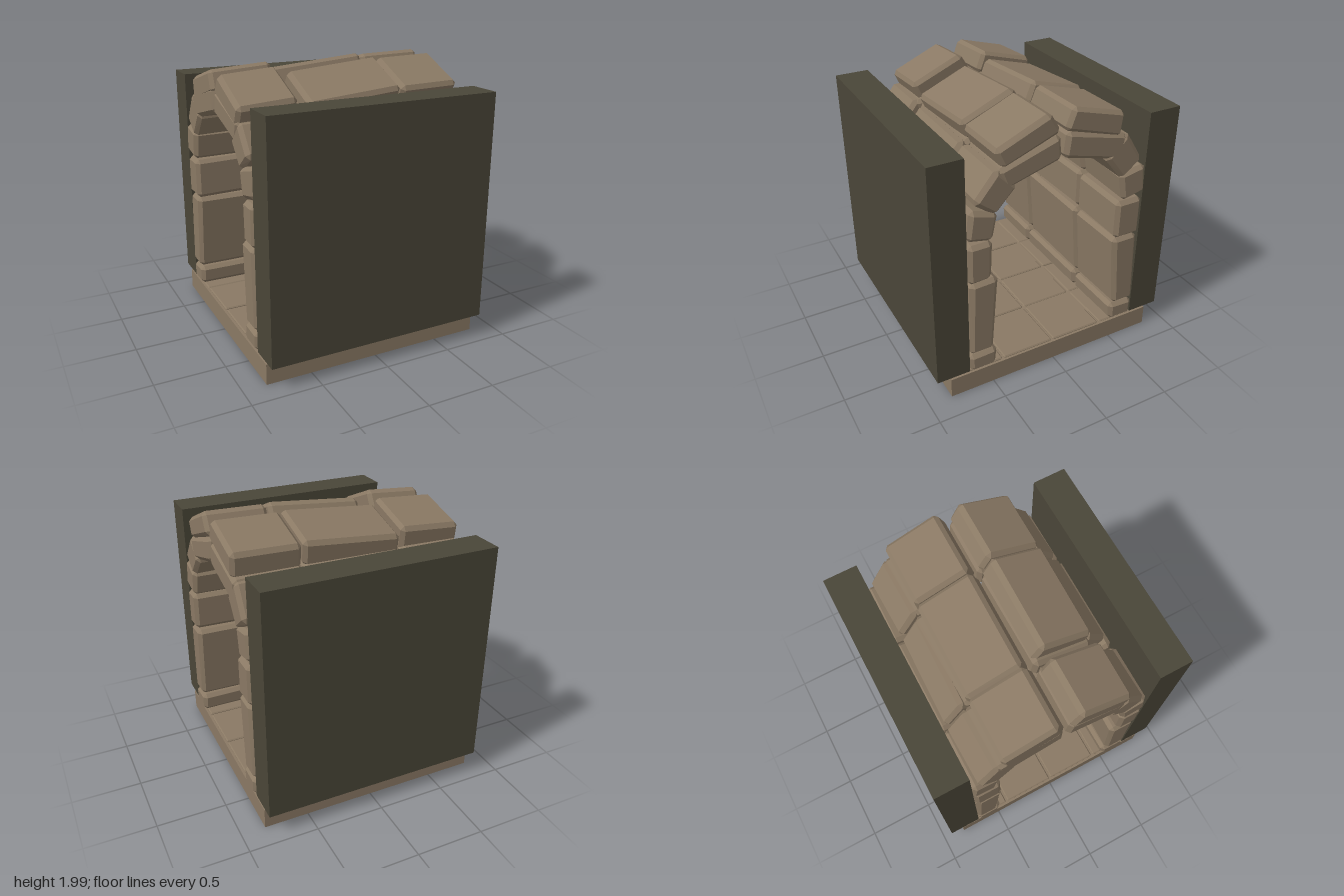
import * as THREE from 'three';
import { ConvexGeometry } from 'three/addons/geometries/ConvexGeometry.js';

const stoneMat = new THREE.MeshStandardMaterial({ color: 0x8a7964, flatShading: true });
stoneMat.name = 'tan stone';
const wallMat = new THREE.MeshStandardMaterial({ color: 0x4a4638, flatShading: true });
wallMat.name = 'dark wall';

// Small seeded random, -1..1
let seed = 7;
function rand() {
  seed = (seed * 16807) % 2147483647;
  return (seed / 2147483647) * 2 - 1;
}

// Chamfered block between two four-sided (z, y) sections at x0 and x1
function stoneGeometry(a, b, x0, x1, bevel) {
  const corner = (q, i, x) => new THREE.Vector3(x, q[i][1], q[i][0]);
  const A = [0, 1, 2, 3].map(i => corner(a, i, x0));
  const B = [0, 1, 2, 3].map(i => corner(b, i, x1));
  const section = (C, u, v) => C[0].clone().lerp(C[1], u).lerp(C[3].clone().lerp(C[2], u), v);
  const at = (u, v, w) => section(A, u, v).lerp(section(B, u, v), w);
  const inset = [
    bevel / A[0].distanceTo(A[1]),
    bevel / A[1].distanceTo(A[2]),
    bevel / (x1 - x0),
  ];
  const points = [];
  for (let c = 0; c < 8; c++) {
    const ends = [c & 1, (c >> 1) & 1, c >> 2];
    for (let flush = 0; flush < 3; flush++) {
      const p = ends.map((e, k) => (k === flush ? e : e ? 1 - inset[k] : inset[k]));
      points.push(at(...p));
    }
  }
  return new ConvexGeometry(points);
}

function addBox(group, name, mat, x0, x1, y0, y1, z0, z1) {
  const mesh = new THREE.Mesh(new THREE.BoxGeometry(x1 - x0, y1 - y0, z1 - z0), mat);
  mesh.position.set((x0 + x1) / 2, (y0 + y1) / 2, (z0 + z1) / 2);
  mesh.name = name;
  group.add(mesh);
}

// Courses as (z, y) sections, bottom to crown
const frontCourses = [
  ['base', [[0.68, 0.165], [0.48, 0.165], [0.47, 0.31], [0.69, 0.3]]],
  ['pier', [[0.68, 0.31], [0.5, 0.31], [0.46, 0.91], [0.67, 0.9]]],
  ['upperPier', [[0.68, 0.9], [0.51, 0.91], [0.5, 1.2], [0.68, 1.2]]],
  ['springer', [[0.69, 1.24], [0.5, 1.2], [0.46, 1.4], [0.66, 1.46]]],
  ['haunch', [[0.64, 1.5], [0.48, 1.38], [0.32, 1.55], [0.47, 1.71]]],
  ['vault', [[0.47, 1.69], [0.41, 1.54], [0, 1.66], [0.02, 1.84]]],
  ['crown', [[0.49, 1.83], [0.43, 1.69], [0.01, 1.85], [0.1, 2.0]]],
];
const backCourses = [
  ['base', [[-0.68, 0.165], [-0.49, 0.165], [-0.48, 0.31], [-0.69, 0.3]]],
  ['pier', [[-0.69, 0.31], [-0.51, 0.31], [-0.46, 0.9], [-0.67, 0.9]]],
  ['upperPier', [[-0.68, 0.9], [-0.47, 0.9], [-0.47, 1.2], [-0.68, 1.2]]],
  ['springer', [[-0.7, 1.24], [-0.51, 1.2], [-0.47, 1.42], [-0.68, 1.46]]],
  ['haunch', [[-0.65, 1.5], [-0.49, 1.38], [-0.34, 1.57], [-0.5, 1.74]]],
  ['vault', [[-0.51, 1.72], [-0.46, 1.54], [-0.01, 1.66], [-0.03, 1.84]]],
  ['crown', [[-0.47, 1.89], [-0.45, 1.71], [-0.01, 1.85], [-0.07, 2.0]]],
];

function addCourses(group, side, courses) {
  const front = side === 'front';
  for (const [name, quad] of courses) {
    // The front haunch and crown leave an open joint near the -x end
    const open = front && (name === 'haunch' || name === 'crown');
    const spans = open
      ? [[-0.84, -0.415], [-0.335, 0.37], [0.38, 0.84]]
      : front
        ? [[-0.84, -0.39], [-0.38, 0.37], [0.38, 0.84]]
        : [[-0.84, -0.38], [-0.37, 0.345], [0.355, 0.84]];
    // Crown stones sink towards -x
    const drops = name === 'crown'
      ? [[-0.045, -0.015], [-0.06, 0], [-0.01, 0]]
      : [[0, 0], [0, 0], [0, 0]];
    const wobble = name === 'base' ? 0.004 : 0.012;
    spans.forEach(([x0, x1], i) => {
      const [a, b] = drops[i].map((dy, end) => {
        const outer = (i === 0 && end === 0) || (i === 2 && end === 1);
        const amount = outer || name === 'crown' ? 0 : wobble;
        const dz = rand() * amount, jy = name === 'base' ? 0 : rand() * amount;
        return quad.map(([z, y]) => [z + dz, y + dy + jy]);
      });
      const mesh = new THREE.Mesh(stoneGeometry(a, b, x0, x1, 0.028), stoneMat);
      mesh.name = `${side}_${name}_${i + 1}`;
      group.add(mesh);
    });
  }
}

export function createModel() {
  const model = new THREE.Group();
  model.name = 'stoneTunnel';

  // Floor slab with shallow paving
  const floor = new THREE.Group();
  floor.name = 'floor';
  addBox(floor, 'floorSlab', stoneMat, -0.83, 0.825, 0, 0.152, -0.83, 0.83);
  const edges = [-0.82, -0.41, 0, 0.39, 0.815];
  for (let r = 0; r < 4; r++) {
    const z0 = -0.82 + r * 0.41, z1 = z0 + 0.41;
    for (let c = 0; c < 4; c++) {
      const x0 = edges[c] + 0.008, x1 = edges[c + 1] - 0.008;
      const y = 0.163 + rand() * 0.003;
      const quad = [[z0 + 0.008, 0.14], [z1 - 0.008, 0.14], [z1 - 0.008, y], [z0 + 0.008, y]];
      const tile = new THREE.Mesh(stoneGeometry(quad, quad, x0, x1, 0.008), stoneMat);
      tile.name = `pavingStone_${r + 1}_${c + 1}`;
      floor.add(tile);
    }
  }
  model.add(floor);

  // Vaulted stonework
  const arch = new THREE.Group();
  arch.name = 'arch';
  addCourses(arch, 'front', frontCourses);
  addCourses(arch, 'back', backCourses);
  model.add(arch);

  // Plain outer walls
  addBox(model, 'frontWall', wallMat, -0.83, 0.825, 0.17, 1.83, 0.685, 0.93);
  addBox(model, 'backWall', wallMat, -0.83, 0.825, 0.17, 1.83, -0.93, -0.685);

  return model;
}
